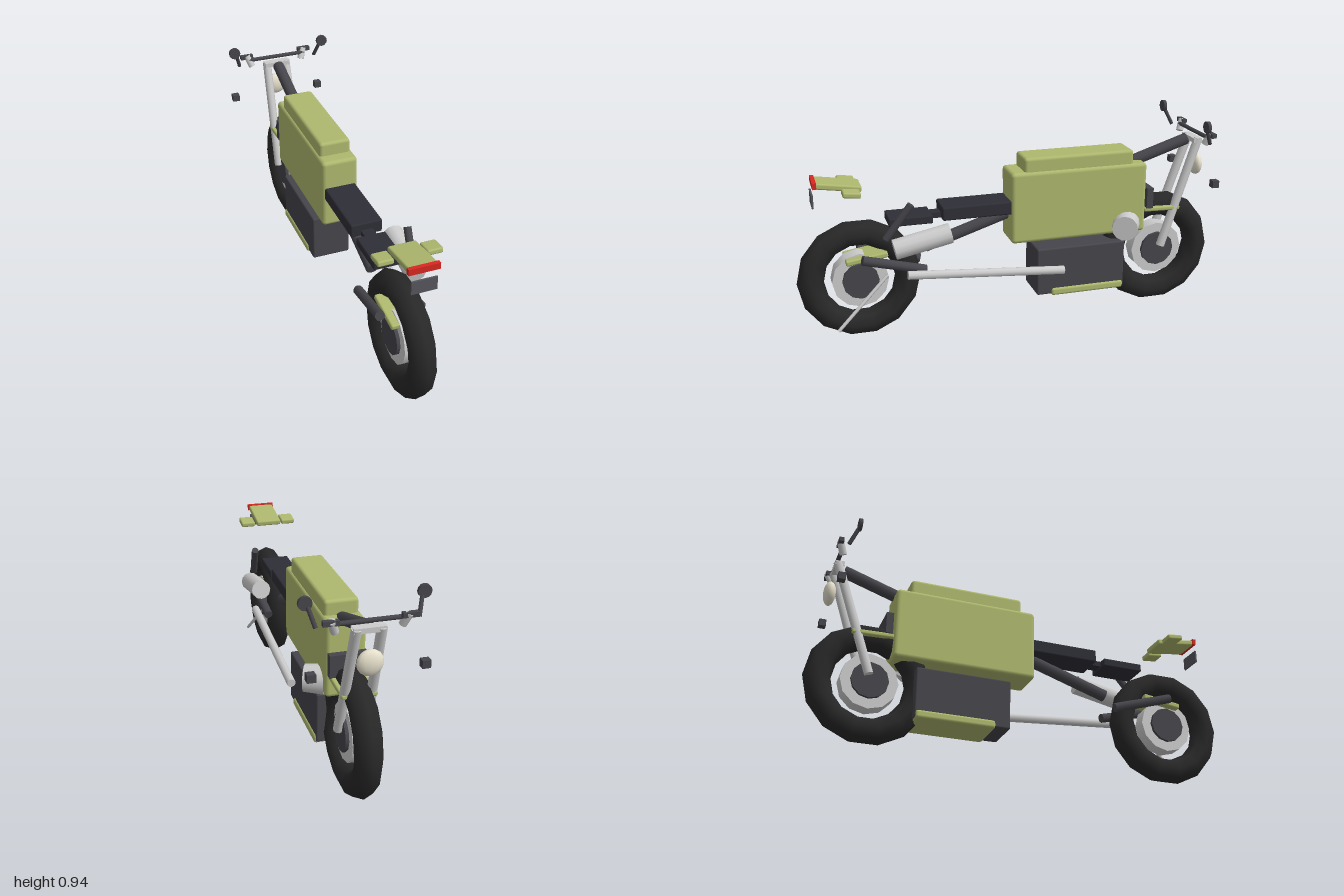
import * as THREE from 'three';
import { RoundedBoxGeometry } from 'three/addons/geometries/RoundedBoxGeometry.js';

const mat = (color) => new THREE.MeshStandardMaterial({ color });

export function createModel() {
  const group = new THREE.Group();
  const green = mat(0xaeb86e), dark = mat(0x45454b), seatDark = mat(0x2e2e36);
  const black = mat(0x282828), steel = mat(0xcccccc), red = mat(0xd82820), cream = mat(0xe6e0cc);

  const add = (name, geometry, material, x = 0, y = 0, z = 0) => {
    const mesh = new THREE.Mesh(geometry, material);
    mesh.name = name;
    mesh.position.set(x, y, z);
    group.add(mesh);
    return mesh;
  };
  const box = (name, m, w, h, d, x, y, z) =>
    add(name, new THREE.BoxGeometry(w, h, d), m, x, y, z);
  const rounded = (name, m, w, h, d, x, y, z, r = 0.01) =>
    add(name, new RoundedBoxGeometry(w, h, d, 2, r), m, x, y, z);
  // Cylinder running from point a to point b
  const rod = (name, m, a, b, r, sides = 10, r2 = r) => {
    const p = new THREE.Vector3(...a), q = new THREE.Vector3(...b);
    const dir = q.clone().sub(p);
    const mesh = add(name, new THREE.CylinderGeometry(r2, r, dir.length(), sides), m);
    mesh.position.copy(p).add(q).multiplyScalar(0.5);
    mesh.quaternion.setFromUnitVectors(new THREE.Vector3(0, 1, 0), dir.normalize());
    return mesh;
  };

  // Wheels: tyre, brake disc and hub
  for (const [name, z] of [['rear', 0.72], ['front', -0.72]]) {
    const y = 0.275;
    add(name + 'Tyre', new THREE.TorusGeometry(0.22, 0.06, 8, 14), black, 0, y, z).rotation.y = Math.PI / 2;
    rod(name + 'Disc', steel, [-0.035, y, z], [0.035, y, z], 0.128, 12);
    rod(name + 'Hub', dark, [-0.05, y, z], [0.05, y, z], 0.083, 12);
  }

  // Body, lid and engine
  rounded('body', green, 0.17, 0.338, 0.66, 0, 0.557, -0.303, 0.018);
  rounded('bodyLid', green, 0.147, 0.09, 0.53, 0, 0.745, -0.302, 0.015);
  rounded('engine', dark, 0.185, 0.23, 0.435, 0, 0.236, -0.312, 0.008);
  rounded('skidPlate', green, 0.2, 0.038, 0.36, 0, 0.132, -0.345, 0.012);
  box('radiator', dark, 0.16, 0.1, 0.032, 0, 0.547, -0.657);

  // Frame spine and seats
  rod('frameSpine', dark, [0, 0.395, 0.415], [0, 0.805, -0.865], 0.028);
  rounded('seat', seatDark, 0.147, 0.062, 0.35, 0, 0.562, 0.17, 0.008);
  rounded('rearSeat', seatDark, 0.135, 0.038, 0.198, 0, 0.543, 0.487, 0.006);
  box('seatLink', seatDark, 0.055, 0.025, 0.08, 0, 0.547, 0.37);

  // Fenders
  rounded('frontFender', green, 0.15, 0.022, 0.185, 0, 0.487, -0.725, 0.008).rotation.x = -0.03;
  rounded('rearFender', green, 0.14, 0.026, 0.19, 0, 0.385, 0.69, 0.008).rotation.x = 0.14;

  // Tail plate with light, side flaps and number plate
  rounded('tailPlate', green, 0.125, 0.027, 0.2, 0, 0.724, 0.795, 0.008).rotation.x = -0.15;
  box('tailLight', red, 0.134, 0.028, 0.018, 0, 0.741, 0.897);
  box('numberPlate', mat(0x55555c), 0.11, 0.06, 0.008, 0, 0.668, 0.908);

  // Headlight and clamp
  add('headlight', new THREE.SphereGeometry(0.055, 12, 8), cream, 0, 0.68, -0.92).scale.z = 0.5;
  box('forkClamp', steel, 0.13, 0.022, 0.04, 0, 0.808, -0.895);
  rod('handlebar', dark, [-0.147, 0.843, -0.9], [0.147, 0.843, -0.9], 0.01, 8);

  // Mirrored parts
  for (const s of [-1, 1]) {
    rod('forkTube', steel, [s * 0.06, 0.295, -0.73], [s * 0.05, 0.815, -0.902], 0.021);
    rod('swingArm', dark, [s * 0.072, 0.31, 0.43], [s * 0.092, 0.392, 0.715], 0.022);
    rounded('tailFlap', green, 0.07, 0.025, 0.078, s * 0.105, 0.709, 0.748, 0.008).rotation.x = -0.12;
    box('grip', dark, 0.064, 0.02, 0.022, s * 0.153, 0.856, -0.915);
    rod('lever', steel, [s * 0.132, 0.81, -0.895], [s * 0.151, 0.862, -0.915], 0.017);
    rod('mirrorStem', dark, [s * 0.201, 0.828, -0.885], [s * 0.222, 0.9, -0.853], 0.009, 8);
    rod('mirror', dark, [s * 0.232, 0.915, -0.842], [s * 0.232, 0.915, -0.857], 0.028, 12);
    box('indicator', dark, 0.035, 0.033, 0.032, s * 0.226, 0.643, -0.908);
  }

  // Right-hand fittings: exhaust, filter, lever and stand
  rod('exhaustPipe', steel, [0.12, 0.25, -0.215], [0.12, 0.31, 0.52], 0.02);
  rod('muffler', steel, [0.131, 0.495, 0.325], [0.131, 0.443, 0.578], 0.046, 12);
  rod('airFilter', steel, [0.06, 0.43, -0.545], [0.14, 0.43, -0.508], 0.066, 14, 0.06);
  rod('rearShock', dark, [0.105, 0.485, 0.61], [0.12, 0.64, 0.495], 0.017);
  rod('kickstand', steel, [0.045, 0.29, 0.6], [0.095, 0.066, 0.838], 0.008, 8);

  return group;
}
